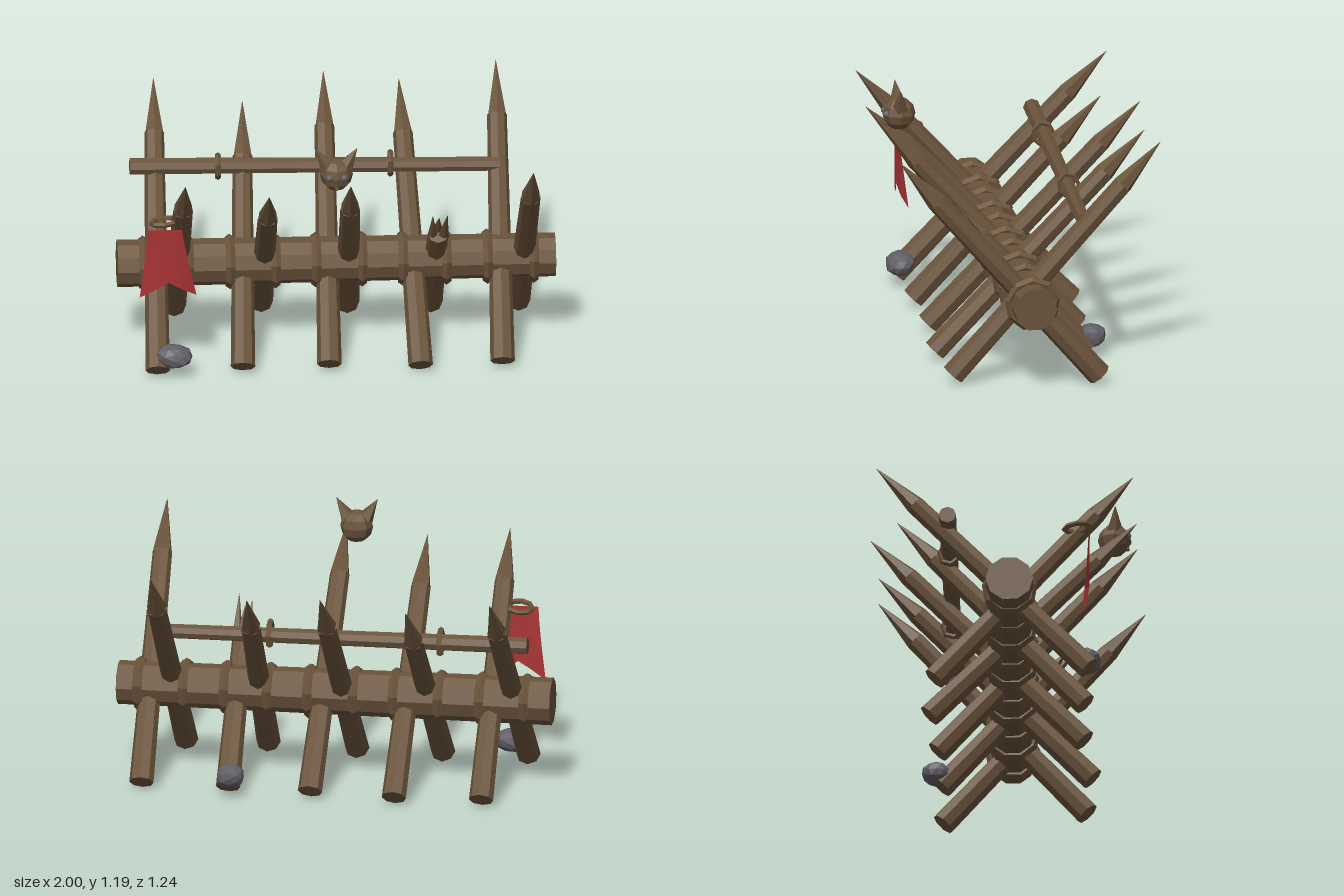
import * as THREE from 'three';

const material = (name, color, extra = {}) => {
  const m = new THREE.MeshStandardMaterial({ color, flatShading: true, ...extra });
  m.name = name;
  return m;
};

export function createModel() {
  const wood = material('weathered wood', 0x6a533b);
  const red = material('red cloth', 0xa83436, { side: THREE.DoubleSide });
  const grey = material('grey stone', 0x625e66);
  const model = new THREE.Group();
  model.name = 'spikedBarricade';
  const V = (x, y, z) => new THREE.Vector3(x, y, z);
  const UP = V(0, 1, 0);

  const add = (parent, name, geometry, mat, position = V(0, 0, 0)) => {
    const mesh = new THREE.Mesh(geometry, mat);
    mesh.name = name;
    mesh.position.copy(position);
    parent.add(mesh);
    return mesh;
  };

  // Tapered pole from point a to point b
  const pole = (parent, name, a, b, ra, rb, sides) => {
    const dir = b.clone().sub(a);
    const mesh = add(parent, name, new THREE.CylinderGeometry(rb, ra, dir.length(), sides),
      wood, a.clone().add(b).multiplyScalar(0.5));
    mesh.quaternion.setFromUnitVectors(UP, dir.normalize());
    return mesh;
  };

  // Central log and its binding rings
  const logStart = V(-1, 0.425, 0.026), logEnd = V(1, 0.42, 0.006);
  pole(model, 'log', logStart, logEnd, 0.109, 0.1, 10);
  for (const x of [-0.88, -0.675, -0.485, -0.278, -0.093, 0.117, 0.303, 0.502, 0.69, 0.9]) {
    const ring = new THREE.TorusGeometry(0.106, 0.023, 5, 9).rotateZ(Math.PI / 2).rotateY(Math.PI / 2);
    add(model, 'bindingRing', ring, wood, logStart.clone().lerp(logEnd, (x + 1) / 2));
  }

  // Sharpened stakes: foot centre and tip
  const stake = (name, foot, tip) => {
    const group = new THREE.Group();
    group.name = name;
    const shoulder = tip.clone().sub(foot).setLength(0.26).negate().add(tip);
    pole(group, 'shaft', foot, shoulder, 0.056, 0.045, 8);
    pole(group, 'point', shoulder, tip, 0.046, 0.001, 6);
    model.add(group);
  };
  const backLeaning = [
    [-0.83, 0.385, -0.807, 1.07, -0.583], [-0.44, 0.36, -0.405, 0.985, -0.497],
    [-0.045, 0.35, -0.03, 1.07, -0.625], [0.37, 0.38, 0.313, 1.04, -0.594],
    [0.745, 0.35, 0.756, 1.12, -0.604]];
  for (const [x, z, tx, ty, tz] of backLeaning) stake('backLeaningStake', V(x, 0.05, z), V(tx, ty, tz));
  const frontLeaning = [
    [-0.725, -0.32, -0.713, 1.06, 0.585], [-0.327, -0.35, -0.33, 1.005, 0.594],
    [0.065, -0.32, 0.042, 1.05, 0.59], [0.845, -0.31, 0.875, 1.11, 0.612]];
  for (const [x, z, tx, ty, tz] of frontLeaning) stake('frontLeaningStake', V(x, 0.05, z), V(tx, ty, tz));

  // Broken stake with splinters
  const broken = new THREE.Group();
  broken.name = 'brokenStake';
  model.add(broken);
  const stump = V(0.457, 0.62, 0.19);
  pole(broken, 'shaft', V(0.445, 0.05, -0.31), stump, 0.056, 0.047, 8);
  const splinters = [
    [-0.025, 0, 0, 0.43, 0.75, 0.28], [0.025, 0, 0, 0.495, 0.77, 0.32],
    [0, 0.02, -0.02, 0.46, 0.73, 0.26]];
  for (const [dx, dy, dz, x, y, z] of splinters) {
    pole(broken, 'splinter', stump.clone().add(V(dx, dy - 0.02, dz - 0.015)), V(x, y, z), 0.027, 0.001, 5);
  }

  // Cross rail lashed to the back stakes
  pole(model, 'rail', V(-0.93, 0.78, -0.258), V(0.76, 0.762, -0.25), 0.04, 0.034, 8);
  for (const x of [-0.527, 0.26]) {
    const loop = new THREE.TorusGeometry(0.058, 0.013, 5, 7).rotateZ(Math.PI / 2).rotateY(Math.PI / 2);
    loop.scale(1, 1, 0.8);
    add(model, 'railLashing', loop, wood, V(x, 0.775, -0.254)).rotation.x = 0.3;
  }

  // Torn swallowtail flag
  const cloth = new THREE.PlaneGeometry(2, 1, 4, 5);
  const p = cloth.attributes.position;
  for (let i = 0; i < p.count; i++) {
    const u = p.getX(i), v = 0.5 - p.getY(i);
    p.setXYZ(i,
      -0.797 + 0.015 * v + u * (0.078 + 0.052 * v ** 1.2),
      0.755 - v * (0.265 + 0.08 * Math.abs(u)),
      0.388 - v * (0.028 * u * u + 0.01 * u));
  }
  cloth.computeVertexNormals();
  add(model, 'flag', cloth, red);
  const flagRing = add(model, 'flagRing', new THREE.TorusGeometry(0.057, 0.013, 5, 8), wood, V(-0.8, 0.77, 0.33));
  flagRing.rotation.set(Math.PI / 2 - 0.15, 0.1, 0);

  // Carved animal head with ears and eyes
  const head = new THREE.Group();
  head.name = 'carvedHead';
  head.position.set(-0.02, 1.067, 0.487);
  model.add(head);
  add(head, 'skull', new THREE.SphereGeometry(0.076, 8, 6), wood);
  add(head, 'nose', new THREE.IcosahedronGeometry(0.011, 0), wood, V(0, -0.045, 0.06));
  for (const s of [-1, 1]) {
    pole(head, 'ear', V(s * 0.038, 0.035, 0), V(s * 0.095, 0.13, 0.005), 0.04, 0.001, 5);
    add(head, 'eye', new THREE.IcosahedronGeometry(0.016, 1), grey, V(s * 0.034, 0.007, 0.062));
  }

  // Stones resting against the feet
  const stone = (x, y, z, sx, sy, sz, phase) => {
    const g = new THREE.IcosahedronGeometry(1, 1);
    const q = g.attributes.position;
    for (let i = 0; i < q.count; i++) {
      const a = q.getX(i), b = q.getY(i), c = q.getZ(i);
      const k = 1 + 0.07 * Math.sin(3 * a + phase) * Math.cos(4 * b + 2 * c);
      q.setXYZ(i, a * k * sx, b * k * sy, c * k * sz);
    }
    g.computeVertexNormals();
    add(model, 'stone', g, grey, V(x, y, z));
  };
  stone(-0.755, 0.115, 0.375, 0.086, 0.057, 0.066, 0.5);
  stone(0.43, 0.11, -0.333, 0.066, 0.056, 0.068, 2);

  return model;
}
